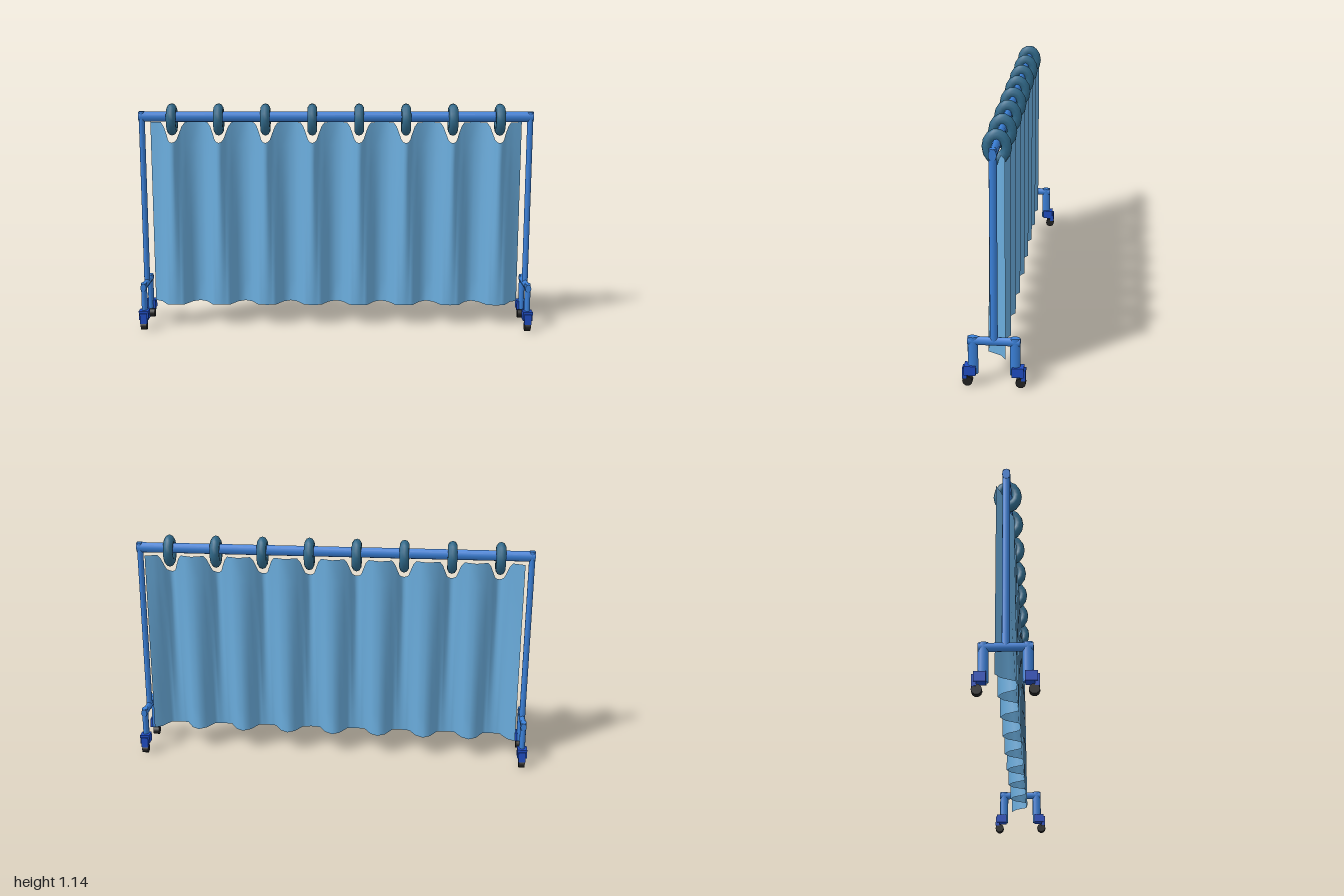
import * as THREE from 'three';

const mat = (name, color, side = THREE.FrontSide) => {
  const m = new THREE.MeshStandardMaterial({ color, side });
  m.name = name;
  return m;
};

// Piecewise linear lookup in a list of [position, value]
function lookup(points, d) {
  for (let i = 1; i < points.length; i++) {
    const [a, va] = points[i - 1], [b, vb] = points[i];
    if (d <= b) return va + (vb - va) * (d - a) / (b - a);
  }
  return points[points.length - 1][1];
}

const PITCH = 0.234, RINGS = 8;
const ringX = i => (i - (RINGS - 1) / 2) * PITCH;

// Pleated cloth: sharp folds at the top opening to broad ones at the hem, notched at each ring
function curtainGeometry() {
  const topEdge = [[0, 0.943], [0.012, 0.946], [0.022, 0.957], [0.03, 0.98], [0.045, 1.02], [0.06, 1.04], [0.117, 1.04]];
  const topFold = [[0, 0.03], [0.012, 0.027], [0.03, -0.006], [0.06, -0.025], [0.117, -0.047]];
  const hemFold = [[0, 0.043], [0.045, 0.037], [0.08, -0.024], [0.117, -0.047]];
  const offsets = [0, 0.012, 0.022, 0.03, 0.045, 0.06, 0.08, 0.117];
  const steps = [...offsets.slice(1).reverse().map(d => -d), ...offsets];
  const columns = [];
  for (let i = 0; i < RINGS; i++) {
    steps.forEach((s, k) => { if (i === 0 || k > 0) columns.push([ringX(i) + s, Math.abs(s)]); });
  }
  const rows = 8, pos = [], index = [];
  columns.forEach(([x, d], c) => {
    const top = lookup(topEdge, d);
    for (let r = 0; r <= rows; r++) {
      const y = 0.11 + (top - 0.11) * r / rows;
      const t = (y - 0.11) / 0.93;
      pos.push(x, y, THREE.MathUtils.lerp(lookup(hemFold, d), lookup(topFold, d), t));
      if (c && r) {
        const a = (c - 1) * (rows + 1) + r - 1, b = a + rows + 1;
        index.push(a, b, b + 1, a, b + 1, a + 1);
      }
    }
  });
  const g = new THREE.BufferGeometry();
  g.setAttribute('position', new THREE.Float32BufferAttribute(pos, 3));
  g.setIndex(index);
  g.computeVertexNormals();
  return g;
}

export function createModel() {
  const model = new THREE.Group();
  const frameBlue = mat('frame blue', 0x3a80d8);
  const curtainBlue = mat('curtain light blue', 0x6aacdc, THREE.DoubleSide);
  const ringTeal = mat('ring teal', 0x30698a);
  const casterBlue = mat('caster deep blue', 0x1f4cc0);
  const wheelBlack = mat('wheel black', 0x222222);

  const add = (parent, name, geometry, material, x, y, z) => {
    const m = new THREE.Mesh(geometry, material);
    m.name = name;
    m.position.set(x, y, z);
    parent.add(m);
    return m;
  };
  // Round bar along an axis, flattened to the two given half widths
  const bar = (axis, length, a, b) => {
    const g = new THREE.CylinderGeometry(1, 1, length, 12).scale(a, 1, b);
    if (axis === 'x') g.rotateZ(Math.PI / 2);
    if (axis === 'z') g.rotateX(Math.PI / 2);
    return g;
  };

  add(model, 'topRail', bar('x', 1.97, 0.026, 0.018), frameBlue, 0, 1.071, 0);
  add(model, 'curtain', curtainGeometry(), curtainBlue, 0, 0, 0);

  // Hanging rings
  const ringGeo = new THREE.TorusGeometry(0.042, 0.023, 10, 14).scale(1, 1.25, 1.06).rotateY(Math.PI / 2);
  for (let i = 0; i < RINGS; i++) add(model, 'ring', ringGeo, ringTeal, ringX(i), 1.057, 0);

  // End stands with casters
  for (const side of [-1, 1]) {
    const stand = new THREE.Group();
    stand.name = side > 0 ? 'leftStand' : 'rightStand';
    stand.position.x = side * 0.97;
    model.add(stand);
    add(stand, 'post', bar('y', 0.877, 0.015, 0.017), frameBlue, 0, 0.6585, 0);
    add(stand, 'footBar', bar('z', 0.232, 0.015, 0.02), frameBlue, 0, 0.217, 0);
    for (const end of [-1, 1]) {
      add(stand, 'footLeg', bar('y', 0.18, 0.015, 0.023), frameBlue, 0, 0.147, end * 0.093);
      add(stand, 'casterCollar', new THREE.BoxGeometry(0.048, 0.045, 0.052), casterBlue, 0, 0.077, end * 0.106);
      add(stand, 'casterGuard', new THREE.BoxGeometry(0.036, 0.052, 0.02), casterBlue, 0, 0.062, end * 0.13);
      add(stand, 'wheel', new THREE.CylinderGeometry(0.023, 0.023, 0.03, 10).rotateZ(Math.PI / 2), wheelBlack, 0, 0.0225, end * 0.118);
    }
  }
  return model;
}
